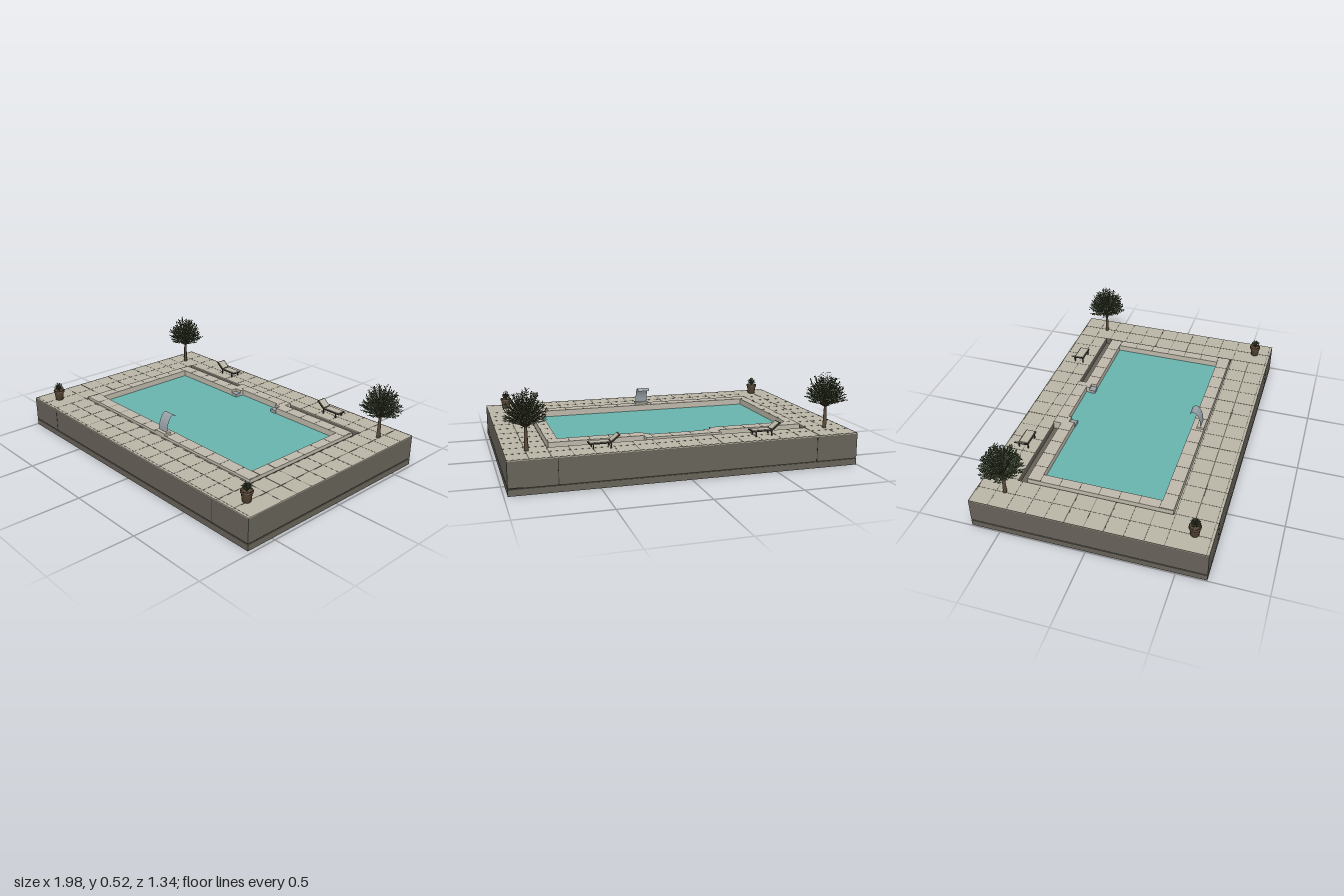
import * as THREE from 'three';
import { mergeGeometries } from 'three/addons/utils/BufferGeometryUtils.js';

const mat = (name, color, side = THREE.FrontSide) => {
  const m = new THREE.MeshStandardMaterial({ color, side });
  m.name = name;
  return m;
};

export function createModel() {
  const M = {
    wall: mat('dark stone', 0x67635a),
    deck: mat('paving', 0xbab5a6),
    coping: mat('coping stone', 0xbeb9ab),
    joint: mat('joint', 0x68645a),
    water: mat('water', 0x69b4ae),
    steel: mat('steel', 0x98a2a8, THREE.DoubleSide),
    leaf: mat('leaf green', 0x4d5c40, THREE.DoubleSide),
    leafDark: mat('dark leaf green', 0x39452f, THREE.DoubleSide),
    bark: mat('bark brown', 0x5a4a38),
    frame: mat('dark frame', 0x3f3a34),
  };
  const model = new THREE.Group();
  model.name = 'swimmingPool';

  const add = (name, geo, m, parent = model) => {
    const mesh = new THREE.Mesh(geo, m);
    mesh.name = name;
    parent.add(mesh);
    return mesh;
  };
  const group = (name, x = 0, y = 0, z = 0) => {
    const g = new THREE.Group();
    g.name = name;
    g.position.set(x, y, z);
    model.add(g);
    return g;
  };
  // Box given by its limits on each axis
  const boxGeo = (x0, x1, y0, y1, z0, z1) =>
    new THREE.BoxGeometry(x1 - x0, y1 - y0, z1 - z0).translate((x0 + x1) / 2, (y0 + y1) / 2, (z0 + z1) / 2);
  // Flat slab from an outline of [x, z] points, with an optional hole
  const slab = (pts, hole, y0, y1) => {
    const v = (p) => p.map(([x, z]) => new THREE.Vector2(x, -z));
    const s = new THREE.Shape(v(pts));
    if (hole) s.holes.push(new THREE.Path(v(hole)));
    return new THREE.ExtrudeGeometry(s, { depth: y1 - y0, bevelEnabled: false }).rotateX(-Math.PI / 2).translate(0, y0, 0);
  };
  const rect = (x0, x1, z0, z1) => [[x0, z1], [x1, z1], [x1, z0], [x0, z0]];

  // Plinth, recessed gap and outer walls
  const X0 = -0.995, X1 = 0.98, Z = 0.67;
  const H = { x0: -0.77, x1: 0.75, z0: -0.475, z1: 0.426 };
  const outer = rect(X0, X1, -Z, Z), well = rect(H.x0, H.x1, H.z0, H.z1);
  add('plinth', boxGeo(X0, X1, 0, 0.036, -Z, Z), M.wall);
  add('plinthGap', boxGeo(X0 + 0.006, X1 - 0.006, 0.036, 0.042, -Z + 0.006, Z - 0.006), M.frame);
  add('body', boxGeo(X0, X1, 0.042, 0.15, -Z, Z), M.wall);
  add('upperWall', slab(outer, well, 0.15, 0.183), M.wall);
  add('deck', slab(outer, well, 0.183, 0.188), M.deck);
  const seams = [];
  for (const x of [-0.745, 0.72]) for (const s of [-1, 1])
    seams.push(boxGeo(x - 0.002, x + 0.002, 0.042, 0.183, s * Z - 0.001, s * Z + 0.001));
  add('wallSeams', mergeGeometries(seams), M.frame);

  // Paving joints, interrupted by the pool
  const joints = [];
  const jointX = (x, w, a, b) => joints.push(boxGeo(x - w / 2, x + w / 2, 0.187, 0.1887, a, b));
  const jointZ = (z, w, a, b) => joints.push(boxGeo(a, b, 0.187, 0.1887, z - w / 2, z + w / 2));
  for (let k = -7; k <= 9; k++) {
    const x = -0.18 + k * 0.1163;
    const w = [0, 4, 8, 9].includes(k) ? 0.006 : 0.0025;
    if (x < H.x0 || x >= H.x1) jointX(x, w, -Z, Z);
    else { jointX(x, w, -Z, H.z0); jointX(x, w, H.z1, Z); }
  }
  for (let k = -7; k <= 5; k++) {
    const z = 0.105 + k * 0.11;
    const w = [0, -2].includes(k) ? 0.006 : 0.0025;
    if (z < H.z0 || z > H.z1) jointZ(z, k === 4 ? 0.006 : w, k === 4 ? H.x0 : X0, k === 4 ? H.x1 : X1);
    else { jointZ(z, w, X0, H.x0); jointZ(z, w, H.x1, X1); }
  }
  add('pavingJoints', mergeGeometries(joints), M.joint);

  // Raised coping around the water, with a shallow alcove at the back
  const rim = [[-0.755, 0.42], [0.735, 0.42], [0.735, -0.425], [0.2, -0.425], [0.2, -0.475],
    [-0.24, -0.475], [-0.24, -0.425], [-0.755, -0.425]];
  const basin = [[-0.695, 0.343], [0.673, 0.343], [0.673, -0.35], [0.19, -0.35], [0.19, -0.385], [0.15, -0.385],
    [0.15, -0.405], [-0.165, -0.405], [-0.165, -0.385], [-0.212, -0.385], [-0.212, -0.35], [-0.695, -0.35]];
  add('coping', slab(rim, basin, 0.15, 0.2), M.coping);
  add('water', slab(basin, null, 0.15, 0.163), M.water);
  for (const x of [-0.19, 0.168]) add('entryStep', boxGeo(x - 0.022, x + 0.022, 0.15, 0.182, -0.385, -0.346), M.steel);

  // Joints between coping stones
  const cuts = [];
  const cut = (x0, x1, z0, z1) => cuts.push(boxGeo(x0, x1, 0.199, 0.2006, z0, z1));
  for (let i = 0; i < 14; i++) {
    const x = -0.75 + i * 0.1138;
    cut(x - 0.002, x + 0.002, 0.343, 0.42);
    if (x < -0.24 || x > 0.2) cut(x - 0.002, x + 0.002, -0.425, -0.35);
    else cut(x - 0.002, x + 0.002, -0.475, -0.405);
  }
  for (let i = 0; i < 7; i++) {
    const z = -0.348 + i * 0.1148;
    cut(-0.755, -0.695, z - 0.002, z + 0.002);
    cut(0.673, 0.735, z - 0.002, z + 0.002);
  }
  add('copingJoints', mergeGeometries(cuts), M.joint);

  // Curved waterfall spout
  const spout = group('waterfall', -0.008, 0, 0);
  add('spoutBase', boxGeo(-0.042, 0.042, 0.198, 0.212, 0.375, 0.42), M.coping, spout);
  const arc = new THREE.CatmullRomCurve3([[0.21, 0.398], [0.25, 0.393], [0.285, 0.379], [0.309, 0.358], [0.309, 0.343], [0.295, 0.328]]
    .map(([y, z]) => new THREE.Vector3(0, y, z)));
  const sheet = new THREE.PlaneGeometry(0.075, 1, 1, 20), sp = sheet.attributes.position;
  for (let i = 0; i < sp.count; i++) {
    const p = arc.getPoint(sp.getY(i) + 0.5);
    sp.setXYZ(i, sp.getX(i), p.y, p.z);
  }
  sheet.computeVertexNormals();
  add('spoutSheet', sheet, M.steel, spout);

  // Sun loungers with a reclined back
  for (const x of [-0.465, 0.46]) {
    const g = group('lounger', x, 0.188, -0.558);
    const panel = (name, len, parent) => {
      add(name + 'Frame', boxGeo(0, len, -0.003, 0.003, -0.032, 0.032), M.frame, parent);
      add(name + 'Cushion', boxGeo(0.005, len - 0.005, 0.002, 0.006, -0.025, 0.025), M.deck, parent);
    };
    const seat = new THREE.Group(), back = new THREE.Group();
    seat.name = 'seat'; back.name = 'backrest';
    seat.position.set(-0.035, 0.03, 0);
    back.position.set(-0.035, 0.03, 0);
    back.rotation.z = Math.PI - 0.68;
    panel('seat', 0.118, seat);
    add('backFrame', boxGeo(0, 0.064, -0.003, 0.003, -0.032, 0.032), M.frame, back);
    add('backCushion', boxGeo(0.006, 0.058, -0.006, -0.002, -0.025, 0.025), M.deck, back);
    g.add(seat, back);
    for (const lx of [-0.035, 0.06]) for (const s of [-1, 1])
      add('leg', boxGeo(lx - 0.003, lx + 0.003, 0, 0.03, s * 0.028 - 0.003, s * 0.028 + 0.003), M.frame, g);
  }

  let seed = 7;
  const rnd = () => (seed = (seed * 16807) % 2147483647) / 2147483647;

  // Foliage: arching stems carrying pairs of diamond leaflets
  const foliage = (parent, count, rows, maxTilt, width, height, leafLen) => {
    const tris = [[], []], stems = [];
    const up = new THREE.Vector3(0, 1, 0);
    for (let i = 0; i < count; i++) {
      const az = i * 2.39996, tilt = maxTilt * Math.sqrt((i + 0.5) / count), size = 0.82 + rnd() * 0.2;
      const tip = new THREE.Vector3(Math.cos(az) * Math.sin(tilt) * width, Math.cos(tilt) * height, Math.sin(az) * Math.sin(tilt) * width)
        .multiplyScalar(size);
      const curve = new THREE.QuadraticBezierCurve3(new THREE.Vector3(), tip.clone().multiplyScalar(0.5).addScaledVector(up, 0.012), tip);
      stems.push(new THREE.TubeGeometry(curve, 3, 0.0012, 3));
      for (let r = 0; r < rows; r++) {
        const t = 0.35 + 0.65 * (r + 1) / rows, p = curve.getPoint(t), dir = curve.getTangent(t);
        const side = new THREE.Vector3(-Math.sin(az), 0, Math.cos(az));
        for (const s of [-1, 1]) {
          const out = dir.clone().multiplyScalar(0.6).addScaledVector(side, s).addScaledVector(up, rnd() * 0.8 - 0.4).normalize();
          const across = new THREE.Vector3().crossVectors(out, new THREE.Vector3(rnd() - 0.5, 1, rnd() - 0.5)).normalize();
          const len = leafLen * (0.7 + rnd() * 0.4);
          const mid = p.clone().addScaledVector(out, len * 0.5), end = p.clone().addScaledVector(out, len);
          const a = mid.clone().addScaledVector(across, len * 0.14), b = mid.clone().addScaledVector(across, -len * 0.14);
          for (const v of [p, a, end, p, end, b]) tris[i % 2].push(v.x, v.y, v.z);
        }
      }
    }
    tris.forEach((t, i) => {
      const g = new THREE.BufferGeometry();
      g.setAttribute('position', new THREE.Float32BufferAttribute(t, 3));
      g.computeVertexNormals();
      add('leaves', g, i ? M.leafDark : M.leaf, parent);
    });
    add('stems', mergeGeometries(stems), M.bark, parent);
  };

  // Trees at the back corners, potted plants at the front corners
  for (const x of [-0.873, 0.86]) {
    const tree = group('tree', x, 0.186, -0.505);
    add('trunk', new THREE.CylinderGeometry(0.007, 0.012, 0.15, 8).translate(0, 0.075, 0), M.bark, tree);
    const crown = new THREE.Group();
    crown.name = 'crown';
    crown.position.y = 0.125;
    tree.add(crown);
    foliage(crown, 90, 12, 1.33, 0.122, 0.2, 0.026);

    const pot = group('pottedPlant', x, 0.186, 0.565);
    const profile = [[0, 0], [0.023, 0], [0.03, 0.052], [0.034, 0.052], [0.034, 0.064], [0.028, 0.064], [0.027, 0.056], [0, 0.056]];
    add('pot', new THREE.LatheGeometry(profile.map(([r, y]) => new THREE.Vector2(r, y)), 16), M.bark, pot);
    const plant = new THREE.Group();
    plant.name = 'plant';
    plant.position.y = 0.056;
    pot.add(plant);
    foliage(plant, 28, 5, 1.1, 0.03, 0.052, 0.014);
  }
  return model;
}
